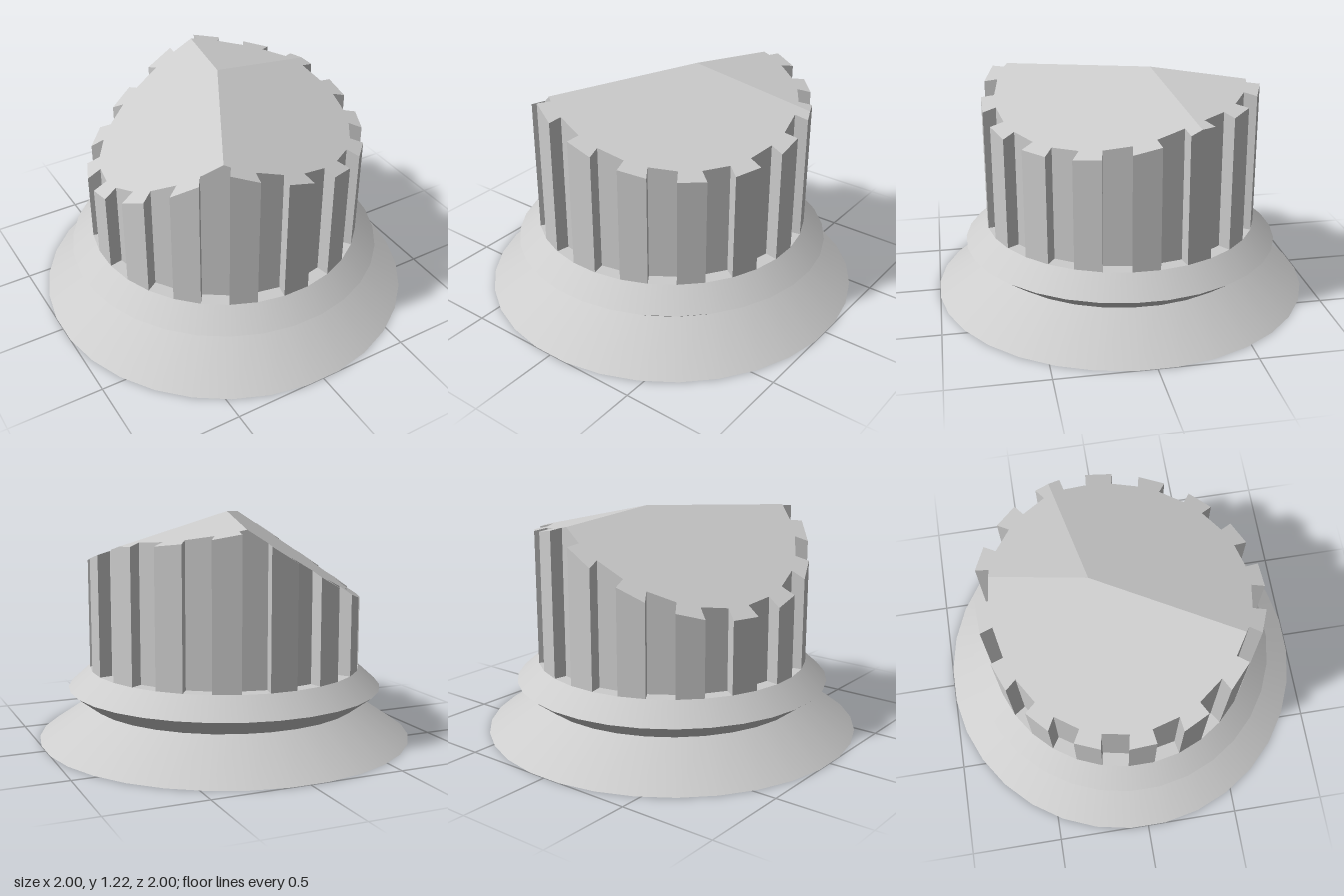
import * as THREE from 'three';

const SIDES = 32;
const STEP = (Math.PI * 2) / SIDES;
const SHAFT_R = 0.728;
const SHAFT_Y = 0.377;
const GROOVE = 0.07;

// Three sloping break planes meeting at one peak; the lowest one wins.
const PEAK = { x: 0.05, y: 1.215, z: -0.15 };
const SLOPES = [[0.598, 0.257], [-0.228, 0.071], [-0.284, -0.215]];
const planeY = (i, p) => PEAK.y + SLOPES[i][0] * (p.x - PEAK.x) + SLOPES[i][1] * (p.z - PEAK.z);
const lowest = (p) => [0, 1, 2].reduce((m, i) => (planeY(i, p) < planeY(m, p) ? i : m), 0);

// Outline of the shaft: every second side is sunk inwards as a flute.
function fluteOutline() {
  const ring = [];
  for (let k = 0; k < SIDES; k++) {
    const mid = k * STEP;
    const sink = k % 2 ? GROOVE : 0;
    for (const a of [mid - STEP / 2, mid + STEP / 2]) {
      ring.push({
        x: Math.sin(a) * SHAFT_R - Math.sin(mid) * sink,
        z: Math.cos(a) * SHAFT_R - Math.cos(mid) * sink,
      });
    }
  }
  return ring;
}

// Add the points where the ridges between break planes reach the outline.
function splitAtRidges(ring) {
  const out = [];
  ring.forEach((p, k) => {
    const q = ring[(k + 1) % ring.length];
    const i = lowest(p), j = lowest(q);
    out.push({ ...p, y: planeY(i, p) });
    if (i !== j) {
      const dp = planeY(i, p) - planeY(j, p);
      const dq = planeY(i, q) - planeY(j, q);
      const t = dp / (dp - dq);
      const c = { x: p.x + (q.x - p.x) * t, z: p.z + (q.z - p.z) * t, ridge: true };
      out.push({ ...c, y: planeY(i, c) });
    }
  });
  return out;
}

function flatGeometry(triangles) {
  const pos = [];
  for (const tri of triangles) for (const p of tri) pos.push(p.x, p.y, p.z);
  const geo = new THREE.BufferGeometry();
  geo.setAttribute('position', new THREE.Float32BufferAttribute(pos, 3));
  geo.computeVertexNormals();
  return geo;
}

export function createModel() {
  const group = new THREE.Group();
  const stone = new THREE.MeshStandardMaterial({ color: 0xcccccc });
  stone.name = 'stone';

  const add = (name, geo) => {
    const mesh = new THREE.Mesh(geo, stone);
    mesh.name = name;
    group.add(mesh);
    return mesh;
  };

  // Base: three sloping bands with sharp edges between them
  const bands = [
    ['baseSkirt', 1.005, 0, SHAFT_R, 0.185],
    ['ringUnderside', SHAFT_R, 0.185, 0.845, 0.273],
    ['ringTop', 0.845, 0.273, SHAFT_R, SHAFT_Y],
  ];
  for (const [name, r0, y0, r1, y1] of bands) {
    const geo = new THREE.CylinderGeometry(r1, r0, y1 - y0, SIDES, 1, true, STEP / 2);
    add(name, geo).position.y = (y0 + y1) / 2;
  }

  // Flat discs: underside and the ledge at the foot of the flutes
  const foot = new THREE.CircleGeometry(1.005, SIDES, STEP / 2);
  add('baseUnderside', foot.rotateX(Math.PI / 2));
  const ledge = new THREE.CircleGeometry(SHAFT_R, SIDES, STEP / 2);
  add('fluteLedge', ledge.rotateX(-Math.PI / 2)).position.y = SHAFT_Y;

  // Fluted shaft walls
  const ring = splitAtRidges(fluteOutline());
  const walls = [];
  ring.forEach((a, k) => {
    const b = ring[(k + 1) % ring.length];
    const a0 = { ...a, y: SHAFT_Y }, b0 = { ...b, y: SHAFT_Y };
    walls.push([a0, b0, b], [a0, b, a]);
  });
  add('flutedShaft', flatGeometry(walls));

  // Broken top: one flat face between each pair of ridges
  const first = ring.findIndex((p) => p.ridge);
  const loop = [...ring.slice(first), ...ring.slice(0, first), ring[first]];
  const top = [];
  let sector = [PEAK, loop[0]];
  for (const p of loop.slice(1)) {
    sector.push(p);
    if (!p.ridge) continue;
    const poly = sector;
    const flat = poly.map((v) => new THREE.Vector2(v.x, -v.z));
    for (const f of THREE.ShapeUtils.triangulateShape(flat, [])) top.push(f.map((i) => poly[i]));
    sector = [PEAK, p];
  }
  add('brokenTop', flatGeometry(top));

  return group;
}
